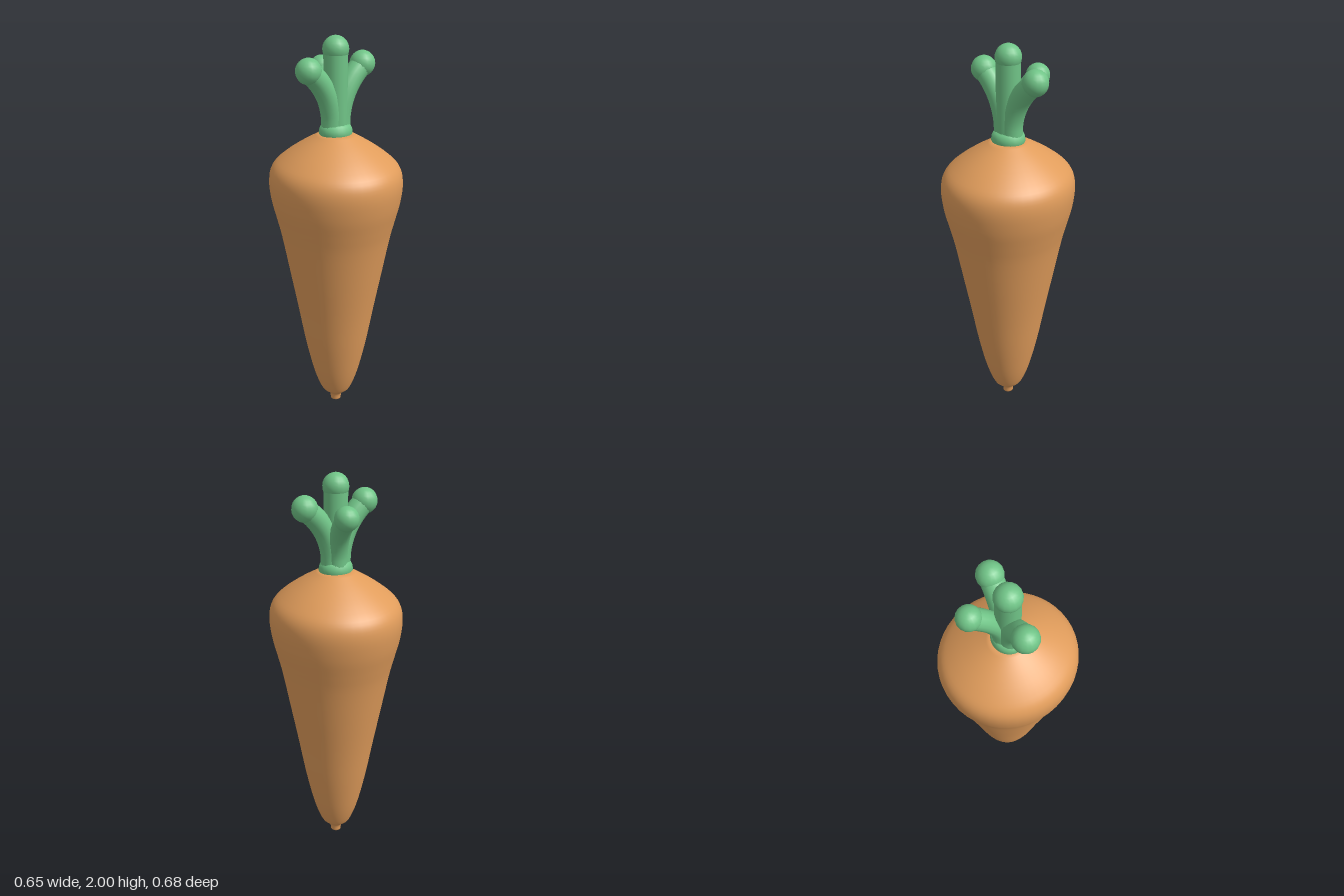
import * as THREE from 'three';

export function createModel() {
  const model = new THREE.Group();
  const orange = new THREE.MeshStandardMaterial({ color: 0xe09c5b });
  orange.name = 'carrot orange';
  const green = new THREE.MeshStandardMaterial({ color: 0x70c487 });
  green.name = 'leaf green';

  const add = (parent, name, geometry, material) => {
    const mesh = new THREE.Mesh(geometry, material);
    mesh.name = name;
    parent.add(mesh);
    return mesh;
  };

  // Root: smooth turned profile, slightly deeper than wide
  const side = new THREE.SplineCurve([
    [0.027, 0], [0.032, 0.035], [0.055, 0.06], [0.08, 0.09], [0.118, 0.2],
    [0.158, 0.38], [0.196, 0.6], [0.232, 0.8], [0.268, 1.0], [0.291, 1.1],
    [0.314, 1.2], [0.323, 1.3], [0.305, 1.37], [0.25, 1.425],
    [0.165, 1.485], [0.08, 1.535],
  ].map(([r, y]) => new THREE.Vector2(r, y))).getPoints(60);
  const profile = [new THREE.Vector2(0, 0), ...side, new THREE.Vector2(0, 1.54)];
  add(model, 'root', new THREE.LatheGeometry(profile, 48), orange).scale.z = 1.053;

  // Collar where the leaves leave the root
  const collar = [[0.078, 1.525], [0.085, 1.54], [0.082, 1.56], [0.072, 1.58], [0.045, 1.59], [0, 1.592]]
    .map(([r, y]) => new THREE.Vector2(r, y));
  add(model, 'collar', new THREE.LatheGeometry(collar, 24), green).scale.z = 0.93;

  // Leaf stalks, each a bent tube with a round tip
  const stalks = [
    { name: 'middleStalk', tip: [0, 1.937, 0], base: 0, r: 0.058, ball: 0.063 },
    { name: 'leftStalk', tip: [0.164, 1.852, 0.012], base: 0.14, r: 0.053, ball: 0.062 },
    { name: 'rightStalk', tip: [-0.157, 1.852, -0.014], base: 0.14, r: 0.053, ball: 0.062 },
    { name: 'backStalk', tip: [0.052, 1.825, -0.157], base: 0.14, r: 0.049, ball: 0.058 },
  ];
  for (const { name, tip: [x, y, z], base, r, ball } of stalks) {
    const stalk = new THREE.Group();
    stalk.name = name;
    const at = (out, up) => new THREE.Vector3(x * out, 1.54 + (y - 1.54) * up, z * out);
    const path = new THREE.CatmullRomCurve3([
      at(base, 0), at(base + 0.02, 0.3), at(0.33, 0.58), at(0.62, 0.81), at(1, 1),
    ]);
    add(stalk, 'stem', new THREE.TubeGeometry(path, 16, r, 16), green);
    add(stalk, 'tip', new THREE.SphereGeometry(ball, 16, 12), green).position.set(x, y, z);
    model.add(stalk);
  }
  return model;
}
